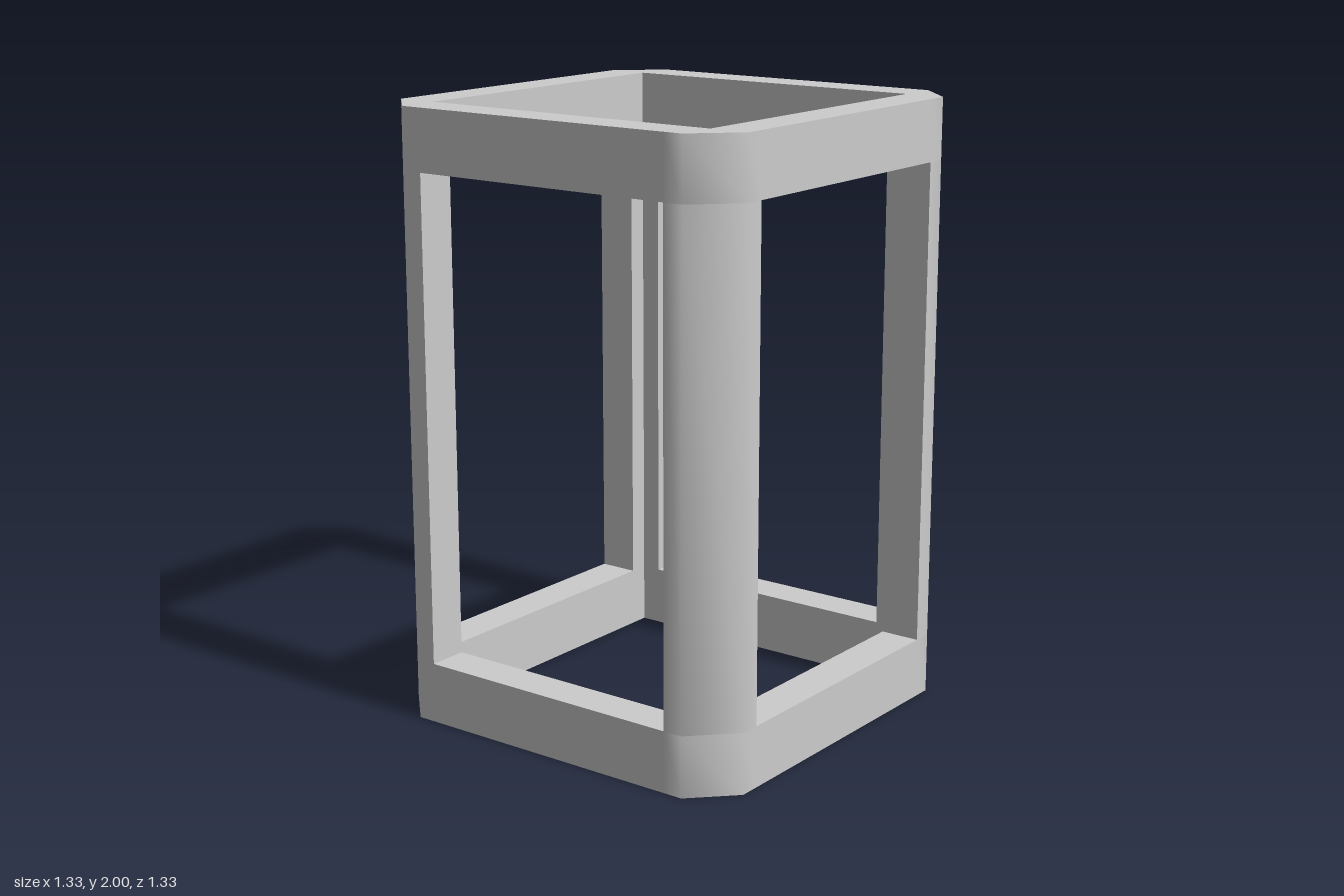
import * as THREE from 'three';
import { toCreasedNormals } from 'three/addons/utils/BufferGeometryUtils.js';

const OUTER = 0.667;   // outer half width
const INNER = 0.533;   // inner half width, also where the corner chamfer starts
const OPENING = 0.467; // half width of the side openings
const HEIGHT = 2;
const RAIL = 0.2;      // height of the top and bottom rings

// Upright extrusion whose chamfered corners are shaded smooth
function extrudeUp(shape, height, y) {
  const geometry = new THREE.ExtrudeGeometry(shape, { depth: height, bevelEnabled: false });
  geometry.rotateX(-Math.PI / 2).translate(0, y, 0);
  return toCreasedNormals(geometry, THREE.MathUtils.degToRad(50));
}

const toShape = (pairs) => new THREE.Shape(pairs.map(([x, y]) => new THREE.Vector2(x, y)));

export function createModel() {
  const model = new THREE.Group();
  model.name = 'openFrame';
  const grey = new THREE.MeshStandardMaterial({ color: 0xcccccc });
  grey.name = 'lightGrey';

  // Chamfered square ring, with extra points that keep the long faces flat
  const outline = [];
  for (let i = 0; i < 4; i++) {
    const c = Math.round(Math.cos(i * Math.PI / 2));
    const s = Math.round(Math.sin(i * Math.PI / 2));
    for (const v of [-INNER, -OPENING, OPENING, INNER]) {
      outline.push([OUTER * c - v * s, OUTER * s + v * c]);
    }
  }
  const ring = toShape(outline);
  ring.holes.push(toShape([[-INNER, -INNER], [-INNER, INNER], [INNER, INNER], [INNER, -INNER]]));

  for (const [name, y] of [['bottomRing', 0], ['topRing', HEIGHT - RAIL]]) {
    const mesh = new THREE.Mesh(extrudeUp(ring, RAIL, y), grey);
    mesh.name = name;
    model.add(mesh);
  }

  // L-shaped corner posts with a chamfered outer edge
  const post = extrudeUp(toShape([
    [OPENING, INNER], [INNER, INNER], [INNER, OPENING], [OUTER, OPENING],
    [OUTER, INNER], [INNER, OUTER], [OPENING, OUTER],
  ]), HEIGHT - 2 * RAIL, RAIL);
  ['backLeftPost', 'backRightPost', 'frontRightPost', 'frontLeftPost'].forEach((name, i) => {
    const mesh = new THREE.Mesh(post, grey);
    mesh.name = name;
    mesh.rotation.y = i * Math.PI / 2;
    model.add(mesh);
  });

  return model;
}
